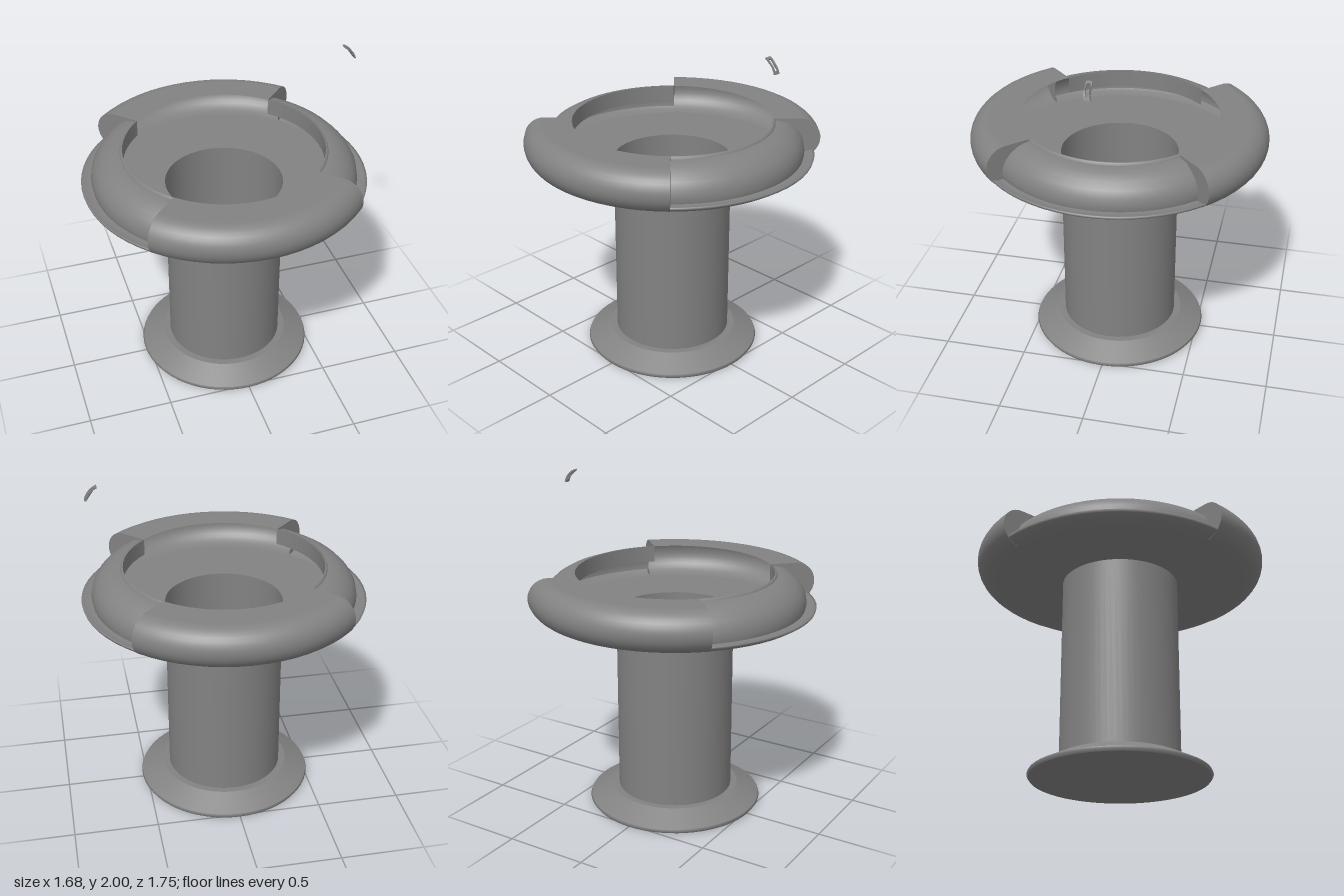
import * as THREE from 'three';

const material = new THREE.MeshStandardMaterial({ color: 0x828282, side: THREE.DoubleSide });
const Q = Math.PI / 4;
const pts = list => list.map(([x, y]) => new THREE.Vector2(x, y));

// points along a circular arc, angles in radians
function arc(cx, cy, r, a0, a1, n) {
  return Array.from({ length: n + 1 }, (_, i) => {
    const a = a0 + (a1 - a0) * i / n;
    return [cx + r * Math.cos(a), cy + r * Math.sin(a)];
  });
}

export function createModel() {
  const group = new THREE.Group();
  const add = (name, geometry, parent = group) => {
    const mesh = new THREE.Mesh(geometry, material);
    mesh.name = name;
    parent.add(mesh);
    return mesh;
  };
  const lathe = (name, profile, start = 0, length = Math.PI * 2, parent = group) =>
    add(name, new THREE.LatheGeometry(pts(profile), Math.round(64 * length / (Math.PI * 2)), start, length), parent);

  // flared foot, separate bands keep its edges sharp
  lathe('footUnderside', [[0, 0.005], [0.52, 0.005]]);
  lathe('footEdge', [[0.52, 0.005], [0.53, 0.02], [0.525, 0.032]]);
  lathe('footSlope', [[0.525, 0.032], [0.39, 0.1]]);
  lathe('footTop', [[0.39, 0.1], [0.35, 0.1]]);

  // hollow column, open into the bowl
  lathe('column', [[0.35, 0.005], [0.35, 1.23]]);
  lathe('bowlFloor', [[0.35, 1.23], [0.755, 1.23]]);

  // cross-sections of the rim
  const outerCurve = arc(0.755, 1.35, 0.12, -Math.PI / 2, Math.PI / 2, 16);
  const rimProfile = [...outerCurve, [0.67, 1.47], [0.59, 1.47]];
  const ledgeProfile = [[0.755, 1.23], [0.8, 1.24], [0.835, 1.262], [0.84, 1.278], [0.825, 1.275], [0.8, 1.268], [0.775, 1.27]];
  const cushionProfile = [[0.775, 1.27], [0.78, 1.3], [0.772, 1.345], [0.75, 1.385], [0.715, 1.42],
    [0.67, 1.446], [0.63, 1.456], [0.605, 1.457]];
  const lipProfile = [[0.605, 1.457], [0.6, 1.47], [0.59, 1.47]];

  // tall rim panels at front and back, recessed cushions at both sides
  for (const [side, start] of [['front', -Q], ['back', 3 * Q]])
    lathe(side + 'RimPanel', rimProfile, start, 2 * Q);
  for (const [side, start] of [['left', Q], ['right', 5 * Q]]) {
    const recess = new THREE.Group();
    recess.name = side + 'Recess';
    group.add(recess);
    lathe('ledge', ledgeProfile, start, 2 * Q, recess);
    lathe('cushion', cushionProfile, start, 2 * Q, recess);
    lathe('lipTop', lipProfile, start, 2 * Q, recess);
    lathe('innerLip', [[0.59, 1.47], [0.59, 1.37]], start, 2 * Q, recess);
  }

  // end walls where the tall panels step down to the recesses
  const wall = new THREE.Shape(pts([...rimProfile, [0.6, 1.468],
    ...[...cushionProfile].reverse(), [0.755, 1.26]]));
  for (let i = 0; i < 4; i++)
    add('panelEndWall', new THREE.ShapeGeometry(wall)).rotation.y = Q + i * 2 * Q;

  // small curved frame floating above the left side
  const loop = (w, v0, v1, n) => {
    const side = Array.from({ length: n + 1 }, (_, i) => v0 + (v1 - v0) * i / n);
    return pts([...side.map(v => [w, v]), ...side.reverse().map(v => [-w, v])]);
  };
  const frame = new THREE.Shape(loop(0.018, 0, 0.108, 8));
  frame.holes.push(new THREE.Path(loop(0.01, 0.018, 0.09, 6).reverse()));
  const bent = new THREE.ExtrudeGeometry(frame, { depth: 0.009, bevelEnabled: false });
  const p = bent.attributes.position;
  for (let i = 0; i < p.count; i++) {
    const a = 0.26 + p.getY(i) / 0.12, r = 0.113 + p.getZ(i);
    p.setXYZ(i, 0.668 + r * Math.cos(a), 1.889 + r * Math.sin(a), -p.getX(i));
  }
  bent.computeVertexNormals();
  add('floatingFrame', bent);

  return group;
}
